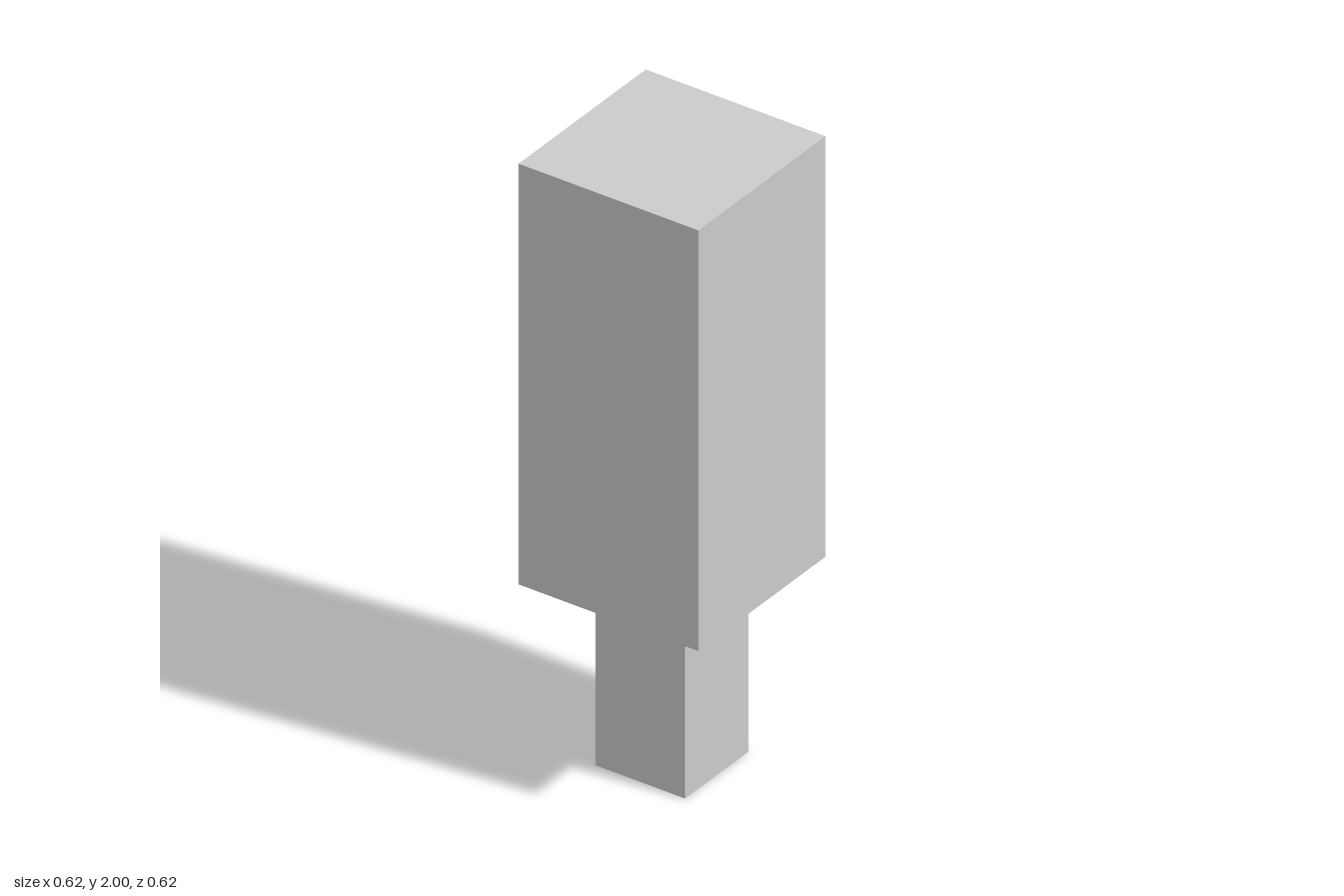
import * as THREE from 'three';

export function createModel() {
  const model = new THREE.Group();
  model.name = 'squareHeadedPost';
  const material = new THREE.MeshStandardMaterial({ color: 0xcccccc, flatShading: true });

  // Square block standing between two heights
  const addBlock = (name, width, bottom, top) => {
    const geometry = new THREE.BoxGeometry(width, top - bottom, width);
    const block = new THREE.Mesh(geometry, material);
    block.name = name;
    block.position.y = (bottom + top) / 2;
    model.add(block);
  };

  const shoulder = 0.617;
  addBlock('handle', 0.308, 0, shoulder); // narrow lower grip
  addBlock('head', 0.616, shoulder, 2); // wide upper block

  return model;
}
